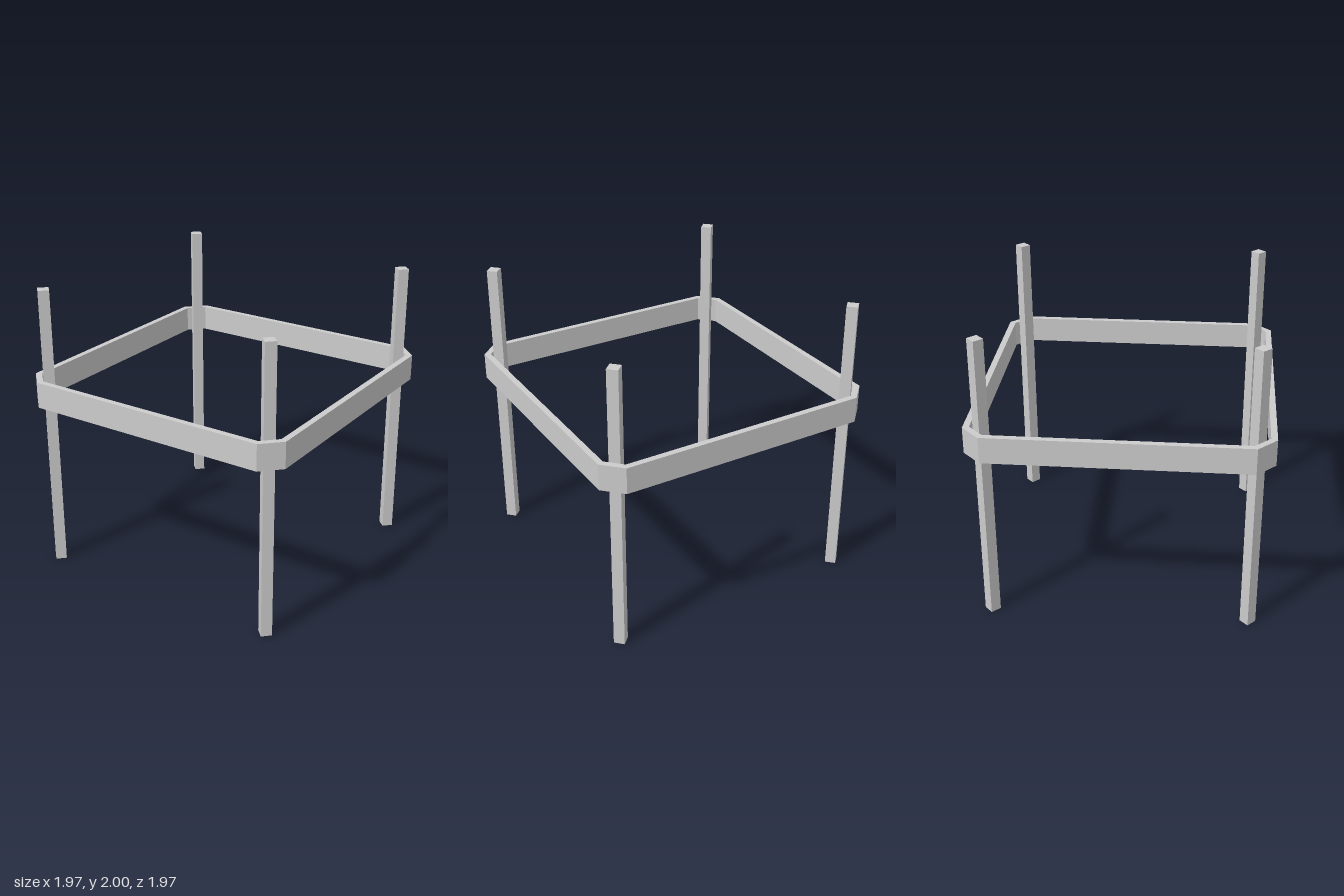
import * as THREE from 'three';

const material = new THREE.MeshStandardMaterial({ color: 0xcccccc, flatShading: true });

// Corners of a square with chamfered corners: h is the half width, c where the chamfer starts
function chamferedSquare(h, c) {
  return [[h, -c], [h, c], [c, h], [-c, h], [-h, c], [-h, -c], [-c, -h], [c, -h]]
    .map(([x, y]) => new THREE.Vector2(x, y));
}

export function createModel() {
  const model = new THREE.Group();

  // Band running around the outside of the posts
  const bottom = 1.205, height = 0.18;
  const outline = new THREE.Shape(chamferedSquare(0.987, 0.862));
  outline.holes.push(new THREE.Path(chamferedSquare(0.945, 0.845)));
  const bandGeometry = new THREE.ExtrudeGeometry(outline, { depth: height, bevelEnabled: false });
  bandGeometry.rotateX(-Math.PI / 2);
  const band = new THREE.Mesh(bandGeometry, material);
  band.name = 'band';
  band.position.y = bottom;
  model.add(band);

  // Four square posts, turned to face the chamfered corners
  const postGeometry = new THREE.BoxGeometry(0.074, 2, 0.074);
  for (const [side, x] of [['Left', 1], ['Right', -1]]) {
    for (const [end, z] of [['front', 1], ['back', -1]]) {
      const post = new THREE.Mesh(postGeometry, material);
      post.name = `${end}${side}Post`;
      post.position.set(x * 0.865, 1, z * 0.865);
      post.rotation.y = Math.PI / 4;
      model.add(post);
    }
  }
  return model;
}
